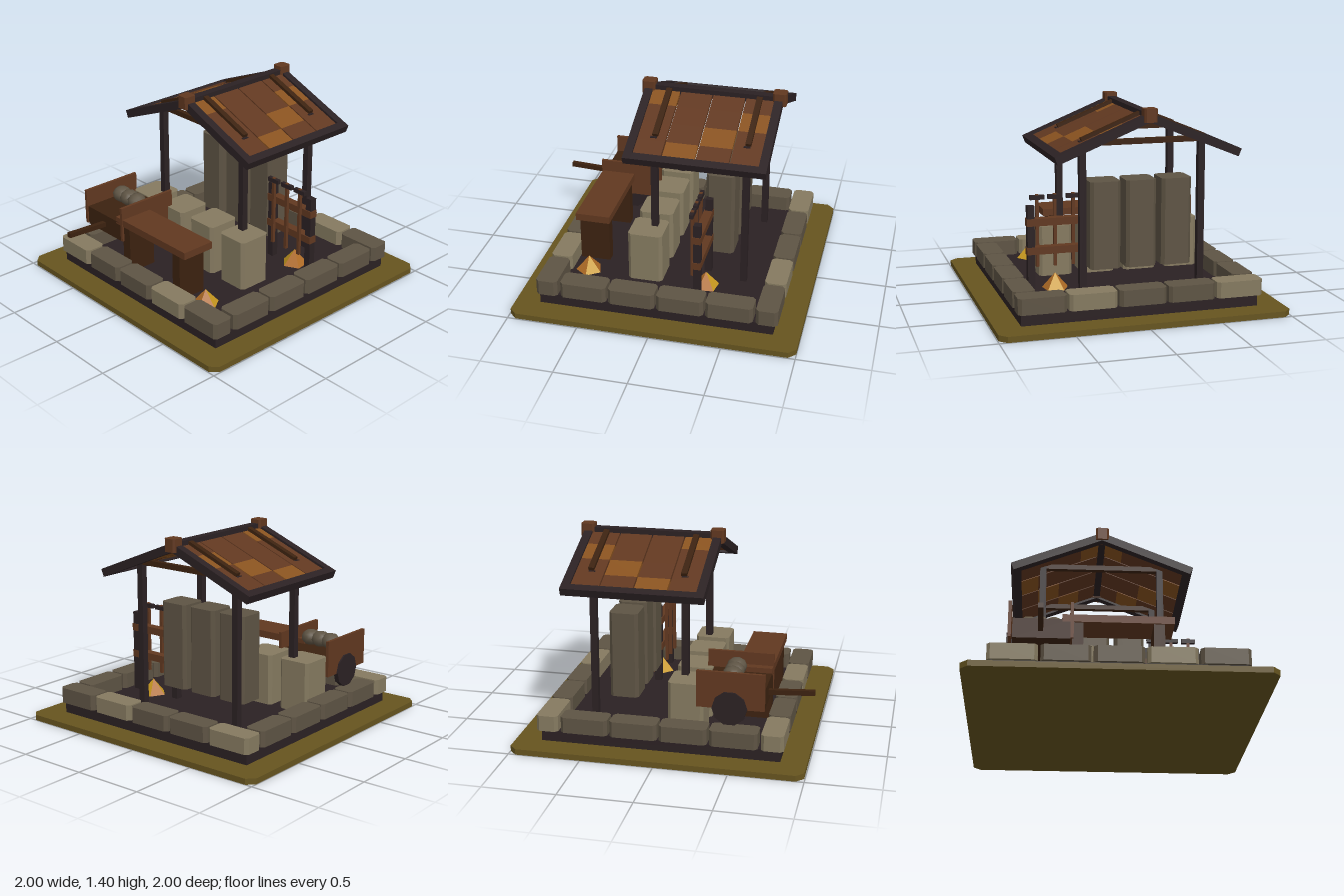
import * as THREE from 'three';

const mat = (name, color) => {
  const m = new THREE.MeshStandardMaterial({ color });
  m.name = name;
  return m;
};

export function createModel() {
  const root = new THREE.Group();
  root.name = 'stoneYard';
  const olive = mat('olive ground', 0x66541f);
  const dark = mat('dark timber', 0x2b2123);
  const lightStone = mat('light stone', 0x857a60);
  const darkStone = mat('dark stone', 0x5e5444);
  const brown = mat('brown wood', 0x613820);
  const deepBrown = mat('deep brown wood', 0x3c2210);
  const orange = mat('orange wood', 0x88521f);
  const gold = mat('gold', 0xc8991f);
  const amber = mat('amber', 0xb06c26);

  const add = (name, geo, material, x = 0, y = 0, z = 0, parent = root) => {
    const m = new THREE.Mesh(geo, material);
    m.name = name;
    m.position.set(x, y, z);
    parent.add(m);
    return m;
  };
  // Box given by its lower and upper limits
  const box = (name, material, x0, x1, y0, y1, z0, z1, parent = root) =>
    add(name, new THREE.BoxGeometry(x1 - x0, y1 - y0, z1 - z0), material,
      (x0 + x1) / 2, (y0 + y1) / 2, (z0 + z1) / 2, parent);
  // Block with its upright edges cut off
  const block = (name, material, x0, x1, y0, y1, z0, z1, c = 0.022) => {
    const a = (x1 - x0) / 2, b = (z1 - z0) / 2;
    const s = new THREE.Shape([[-a + c, -b], [a - c, -b], [a, -b + c], [a, b - c],
      [a - c, b], [-a + c, b], [-a, b - c], [-a, -b + c]].map(p => new THREE.Vector2(...p)));
    const g = new THREE.ExtrudeGeometry(s, { depth: y1 - y0, bevelEnabled: false });
    g.rotateX(-Math.PI / 2);
    return add(name, g, material, (x0 + x1) / 2, y0, (z0 + z1) / 2);
  };

  // Ground and floor
  block('ground', olive, -1, 0.995, 0, 0.04, -1, 0.995, 0.05);
  box('floor', dark, -0.82, 0.82, 0.04, 0.12, -0.82, 0.82);

  // Border stones
  for (let i = 0; i < 5; i++) {
    const x = -0.847 + i * 0.341;
    const m = i % 3 === 0 ? lightStone : darkStone;
    block('frontBorderStone', m, x, x + 0.325, 0.12, 0.23, 0.69, 0.842);
    block('backBorderStone', m, x, x + 0.325, 0.12, 0.23, -0.85, -0.70);
  }
  for (let i = 0; i < 4; i++) {
    const z = -0.68 + i * 0.341;
    block('rightBorderStone', darkStone, -0.847, -0.697, 0.12, 0.23, z, z + 0.325);
    block('leftBorderStone', darkStone, 0.69, 0.842, 0.12, 0.23, z, z + 0.325);
  }

  // Standing slabs and the row of cut blocks before them
  for (let i = 0; i < 3; i++) {
    const x = -0.482 + i * 0.255;
    block('standingSlab', darkStone, x, x + 0.215, 0.265, 0.875, -0.427, -0.225);
  }
  for (let i = 0; i < 4; i++) {
    const x = -0.69 + i * 0.316;
    block('cutBlock', lightStone, x, x + 0.24, 0.12, 0.483, 0.03, 0.275);
  }

  // Shelter posts and ties
  for (const z of [0.117, -0.523]) {
    for (const x of [-0.506, 0.33])
      box('post', dark, x - 0.023, x + 0.023, 0.12, 1.18, z - 0.023, z + 0.023);
    box('tieBeam', deepBrown, -0.5, 0.325, 1.145, 1.182, z - 0.018, z + 0.018);
  }

  // Roof: each slope is built flat, then turned down from the ridge
  const ridgeX = -0.09, ridgeY = 1.34, pitch = Math.atan2(0.26, 0.64), len = 0.68;
  const rows = [[-0.635, -0.437], [-0.428, -0.206], [-0.197, 0.023], [0.032, 0.225]];
  for (const side of [1, -1]) {
    const slope = new THREE.Group();
    slope.name = side > 0 ? 'leftRoofSlope' : 'rightRoofSlope';
    slope.position.set(ridgeX, ridgeY, 0);
    slope.rotation.set(0, side > 0 ? 0 : Math.PI, 0);
    const tilt = new THREE.Group();
    tilt.name = 'slopeParts';
    tilt.rotation.z = -pitch;
    slope.add(tilt);
    root.add(slope);
    // z limits flip with the half turn
    const part = (name, m, u0, u1, v0, v1, z0, z1) =>
      box(name, m, u0, u1, v0, v1, side > 0 ? z0 : -z1, side > 0 ? z1 : -z0, tilt);
    rows.forEach(([z0, z1], r) => {
      for (let k = 0; k < 4; k++)
        part('roofBoard', k === (r + 1) % 4 ? orange : brown,
          k * 0.165, (k + 1) * 0.165, -0.014, 0.012, z0, z1);
    });
    part('rafter', dark, 0, len, -0.03, 0.027, 0.225, 0.283);
    part('rafter', dark, 0, len, -0.03, 0.027, -0.69, -0.632);
    part('eaveBeam', dark, len - 0.05, len + 0.007, -0.03, 0.027, -0.69, 0.283);
    for (const z of [0.108, -0.53])
      part('roofBatten', deepBrown, 0.02, 0.455, 0.008, 0.034, z - 0.02, z + 0.02);
  }
  box('ridgeBeam', dark, -0.12, -0.06, 1.315, 1.374, -0.7, 0.29);
  for (const z of [0.255, -0.667])
    block('ridgeCap', brown, -0.135, -0.045, 1.31, 1.4, z - 0.047, z + 0.047, 0.012);

  // Tool rack
  for (const x of [0.257, 0.625])
    box('rackPost', dark, x - 0.025, x + 0.025, 0.12, 0.705, -0.28, -0.23);
  for (const y of [0.39, 0.59])
    box('rackRail', brown, 0.23, 0.655, y - 0.026, y + 0.026, -0.283, -0.222);
  for (const x of [0.31, 0.44, 0.566]) {
    box('toolHandle', brown, x - 0.011, x + 0.011, 0.26, 0.77, -0.216, -0.194);
    box('toolHead', dark, x - 0.05, x + 0.05, 0.735, 0.765, -0.22, -0.192);
  }

  // Bench
  box('benchTop', brown, -0.37, 0.37, 0.463, 0.515, 0.443, 0.69);
  for (const x of [-0.268, 0.268])
    box('benchLeg', deepBrown, x - 0.037, x + 0.037, 0.12, 0.463, 0.465, 0.68);

  // Cart
  box('cartBody', deepBrown, -0.695, -0.315, 0.34, 0.48, 0.28, 0.69);
  for (const x of [-0.713, -0.305])
    box('cartSide', brown, x - 0.011, x + 0.011, 0.345, 0.602, 0.235, 0.695);
  for (const x of [-0.718, -0.318]) {
    const wheel = new THREE.CylinderGeometry(0.12, 0.12, 0.035, 10).toNonIndexed();
    wheel.computeVertexNormals();
    wheel.rotateZ(Math.PI / 2);
    add('cartWheel', wheel, dark, x, 0.35, 0.46);
  }
  const handle = add('cartHandle', new THREE.BoxGeometry(0.034, 0.034, 0.36), deepBrown, -0.51, 0.413, 0.822);
  handle.rotation.x = -0.055;

  // Rocks in the cart
  for (let i = 0; i < 3; i++) {
    const rock = add('rock', new THREE.IcosahedronGeometry(0.07, 1), darkStone, -0.593 + i * 0.085, 0.54, 0.455);
    rock.scale.set(1, 0.85, 1);
    rock.rotation.y = i * 0.9;
  }

  // Five-sided nuggets with facets in two colours
  for (const [x, z, turn] of [[0.45, 0.575, 0.3], [0.46, -0.28, 1.1]]) {
    const g = new THREE.ConeGeometry(0.095, 0.11, 5, 1, true).toNonIndexed();
    g.computeVertexNormals();
    g.clearGroups();
    const n = g.attributes.position.count / 5;
    for (let k = 0; k < 5; k++) g.addGroup(k * n, n, k % 2);
    add('nugget', g, [amber, gold], x, 0.175, z).rotation.y = turn;
  }
  return root;
}
